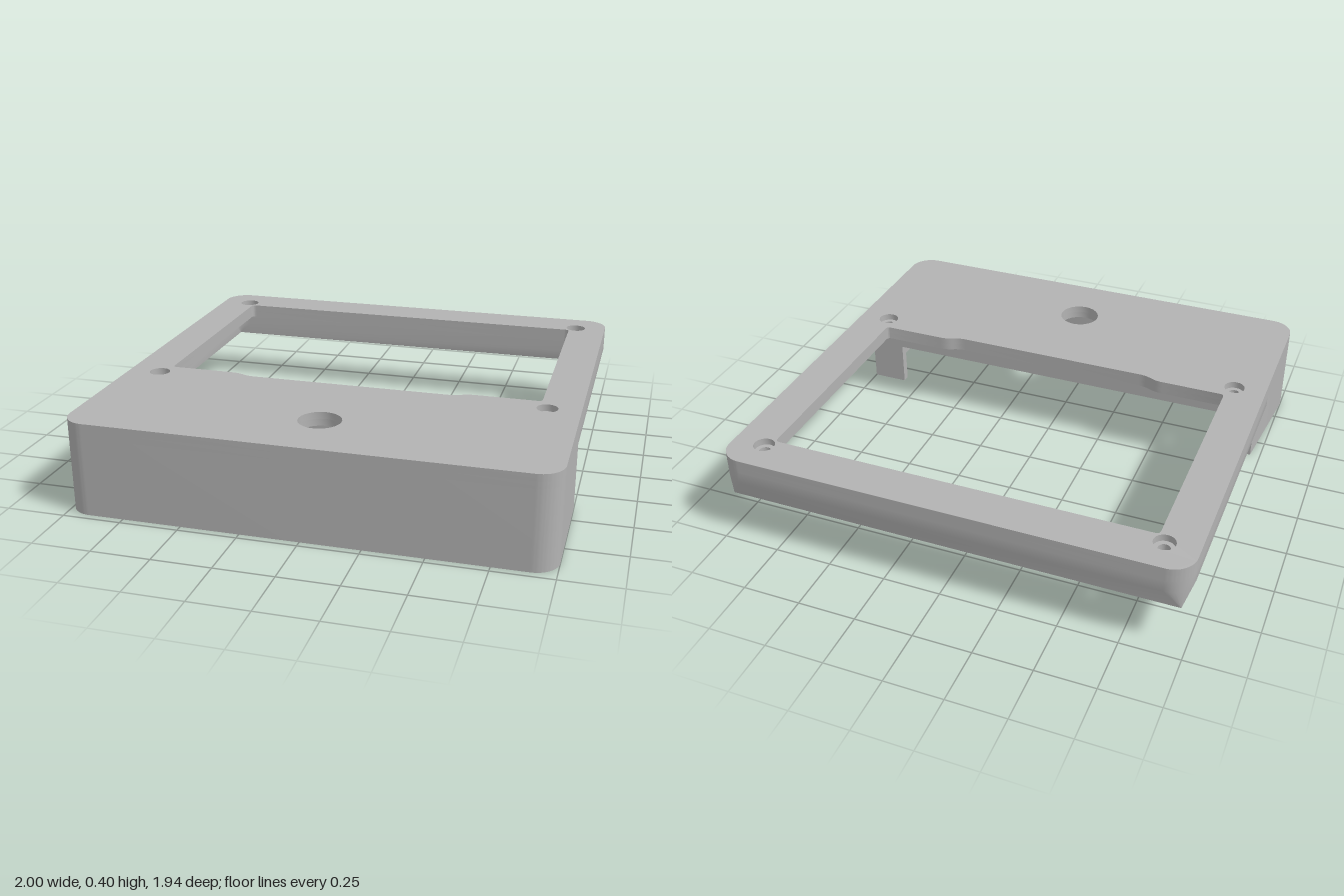
import * as THREE from 'three';
import { toCreasedNormals } from 'three/addons/utils/BufferGeometryUtils.js';

const grey = new THREE.MeshStandardMaterial({ color: 0xb3b3b3 });
grey.name = 'grey plastic';

const BACK = 0.97, FRONT = 0.97, SPLIT = 0.39, WALL = 0.045;
const TOP = 0.4, UNDER = 0.34, SKIRT = 0.2;

function add(group, name, geometry) {
  const mesh = new THREE.Mesh(geometry, grey);
  mesh.name = name;
  group.add(mesh);
  return mesh;
}

// Plan shapes use (x, -z); a slab is a plan shape standing between two heights
function slab(shape, y0, y1) {
  const g = new THREE.ExtrudeGeometry(shape, { depth: y1 - y0, bevelEnabled: false, curveSegments: 12 });
  g.rotateX(-Math.PI / 2).translate(0, y0, 0);
  return toCreasedNormals(g, 0.5);
}

function roundedRect(hx, z0, z1, r) {
  const s = new THREE.Shape();
  s.absarc(hx - r, -z0 - r, r, 0, Math.PI / 2);
  s.absarc(-hx + r, -z0 - r, r, Math.PI / 2, Math.PI);
  s.absarc(-hx + r, -z1 + r, r, Math.PI, Math.PI * 1.5);
  s.absarc(hx - r, -z1 + r, r, Math.PI * 1.5, Math.PI * 2);
  s.closePath();
  return s;
}

function circle(x, z, r) {
  return new THREE.Path().absarc(x, -z, r, 0, Math.PI * 2);
}

// Screen window with a shallow relief in its front edge
function windowHole() {
  const p = new THREE.Path(), x = 0.83, b = 0.79, f = -0.235, d = -0.262, r = 0.02;
  p.moveTo(-x + r, b);
  p.lineTo(x - r, b);
  p.quadraticCurveTo(x, b, x, b - r);
  p.lineTo(x, f + r);
  p.quadraticCurveTo(x, f, x - r, f);
  p.lineTo(0.55, f);
  p.bezierCurveTo(0.49, f, 0.49, d, 0.43, d);
  p.lineTo(-0.43, d);
  p.bezierCurveTo(-0.49, d, -0.49, f, -0.55, f);
  p.lineTo(-x + r, f);
  p.quadraticCurveTo(-x, f, -x, f + r);
  p.lineTo(-x, b - r);
  p.quadraticCurveTo(-x, b, -x + r, b);
  return p;
}

// Top plate layer; the screw hole radius differs per layer for the counterbore
function plate(screwRadius) {
  const s = roundedRect(1, -BACK, FRONT, 0.1);
  s.holes.push(windowHole(), circle(0, 0.68, 0.09));
  for (const x of [-0.86, 0.86])
    for (const z of [-0.83, 0.31]) s.holes.push(circle(x, z, screwRadius));
  return s;
}

// U-shaped wall around the deep front compartment
function frontWall() {
  const s = new THREE.Shape(), r = 0.1, q = 0.08, ix = 1 - WALL, iz = FRONT - WALL;
  s.moveTo(-1, -SPLIT);
  s.absarc(-1 + r, -FRONT + r, r, Math.PI, Math.PI * 1.5);
  s.absarc(1 - r, -FRONT + r, r, Math.PI * 1.5, Math.PI * 2);
  s.lineTo(1, -SPLIT);
  s.lineTo(ix, -SPLIT);
  s.absarc(ix - q, -iz + q, q, 0, -Math.PI / 2, true);
  s.absarc(-ix + q, -iz + q, q, -Math.PI / 2, -Math.PI, true);
  s.lineTo(-ix, -SPLIT);
  s.closePath();
  return s;
}

// Open U path round the back, from the left side to the right side
function backPath(inset, r, y) {
  const pts = [], hx = 1 - inset, hz = BACK - inset, n = 10;
  pts.push([hx, y, SPLIT]);
  for (const side of [0, 1])
    for (let i = 0; i <= n; i++) {
      const a = (side + i / n) * Math.PI / 2;
      const cx = (side ? -1 : 1) * (hx - r);
      pts.push([cx + r * Math.cos(a), y, -(hz - r) - r * Math.sin(a)]);
    }
  pts.push([-hx, y, SPLIT]);
  return pts;
}

// Skirt lofted through its profile: straight wall, tapered foot, thin rim, inside
function skirt() {
  const rings = [
    backPath(0, 0.1, UNDER), backPath(0, 0.1, 0.29), backPath(0.032, 0.004, SKIRT),
    backPath(WALL, 0.004, SKIRT), backPath(WALL, 0.06, 0.25), backPath(WALL, 0.06, UNDER),
  ];
  const n = rings[0].length, index = [];
  for (let k = 0; k < rings.length - 1; k++)
    for (let i = 0; i < n - 1; i++) {
      const a = k * n + i, b = a + n;
      index.push(a, b, a + 1, a + 1, b, b + 1);
    }
  const g = new THREE.BufferGeometry();
  g.setAttribute('position', new THREE.Float32BufferAttribute(rings.flat(2), 3));
  g.setIndex(index);
  return toCreasedNormals(g, 0.5);
}

export function createModel() {
  const model = new THREE.Group();
  model.name = 'displayBezel';

  add(model, 'topPlateUpper', slab(plate(0.045), 0.37, TOP));
  add(model, 'topPlateLower', slab(plate(0.025), UNDER, 0.37));
  add(model, 'frontCompartmentWall', slab(frontWall(), 0, UNDER));
  add(model, 'backSkirt', skirt());

  // Partition behind the compartment: a beam with a leg at each end
  const inner = 1 - WALL, thick = 0.035;
  add(model, 'partitionBeam', new THREE.BoxGeometry(inner * 2, UNDER - SKIRT, thick))
    .position.set(0, (UNDER + SKIRT) / 2, SPLIT + thick / 2);
  for (const s of [-1, 1])
    add(model, s > 0 ? 'leftPartitionLeg' : 'rightPartitionLeg',
      new THREE.BoxGeometry(inner - 0.84, SKIRT, thick))
      .position.set(s * (inner + 0.84) / 2, SKIRT / 2, SPLIT + thick / 2);

  return model;
}
